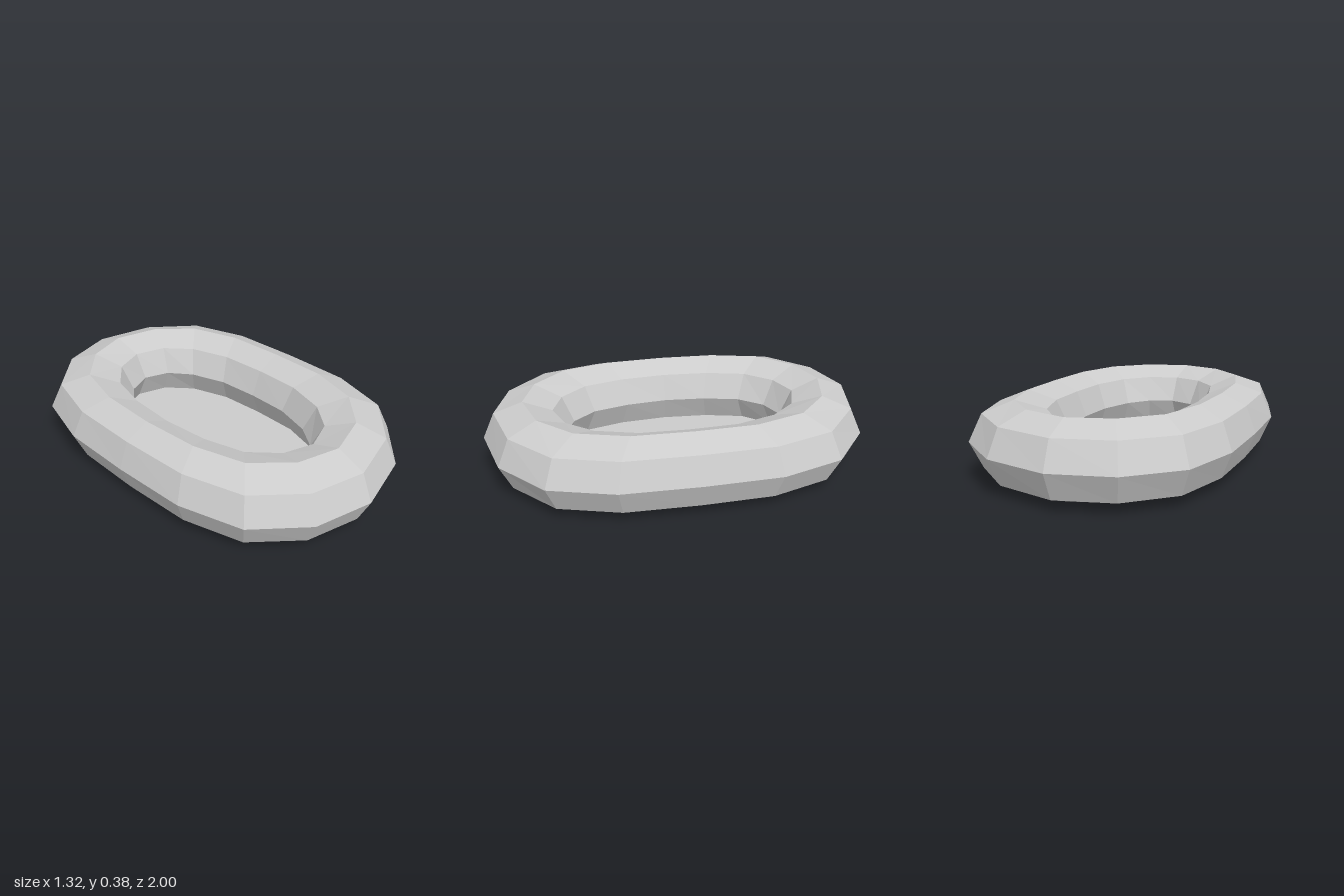
import * as THREE from 'three';

const SEGMENTS = 16; // around the oval
const SIDES = 8;     // around the tube
const HALF_HEIGHT = 0.19;

// Half outlines [x, z], from the left side (+x) round the front to the right side
const OUTER = [[0.66, 0], [0.65, 0.39], [0.55, 0.71], [0.3, 0.92], [-0.03, 1],
  [-0.33, 0.92], [-0.56, 0.71], [-0.65, 0.39], [-0.66, 0]];
const INNER = [[0.29, 0], [0.28, 0.22], [0.22, 0.41], [0.13, 0.53], [0, 0.58],
  [-0.13, 0.53], [-0.23, 0.41], [-0.28, 0.22], [-0.3, 0]];

// Full outline point: the back half mirrors the front half
function outlinePoint(half, i) {
  i %= SEGMENTS;
  if (i <= 8) return half[i];
  const [x, z] = half[SEGMENTS - i];
  return [x, -z];
}

// Point on the tube: i runs round the oval, j round the octagonal section
function tubePoint(i, j) {
  const [ox, oz] = outlinePoint(OUTER, i);
  const [ix, iz] = outlinePoint(INNER, i);
  const phi = (j / SIDES) * Math.PI * 2;
  const t = (1 + Math.cos(phi)) / 2;
  return new THREE.Vector3(
    THREE.MathUtils.lerp(ix, ox, t),
    HALF_HEIGHT * (1 + Math.sin(phi)),
    THREE.MathUtils.lerp(iz, oz, t)
  );
}

function tubeGeometry() {
  const points = [];
  for (let i = 0; i < SEGMENTS; i++) {
    for (let j = 0; j < SIDES; j++) {
      const a = tubePoint(i, j), b = tubePoint(i, j + 1);
      const c = tubePoint(i + 1, j + 1), d = tubePoint(i + 1, j);
      points.push(a, b, c, a, c, d);
    }
  }
  const geometry = new THREE.BufferGeometry().setFromPoints(points);
  geometry.computeVertexNormals();
  return geometry;
}

// Flat sheet joined to the tube's lower inner edge
function floorGeometry() {
  const rim = [];
  for (let i = 0; i < SEGMENTS; i++) rim.push(tubePoint(i, 5));
  const shape = new THREE.Shape(rim.map((p) => new THREE.Vector2(p.x, p.z)));
  return new THREE.ShapeGeometry(shape).rotateX(Math.PI / 2).translate(0, rim[0].y, 0);
}

export function createModel() {
  const group = new THREE.Group();
  group.name = 'inflatableRaft';

  const tube = new THREE.Mesh(tubeGeometry(),
    new THREE.MeshStandardMaterial({ color: 0xcccccc, flatShading: true }));
  tube.name = 'inflatedTube';

  const floor = new THREE.Mesh(floorGeometry(),
    new THREE.MeshStandardMaterial({ color: 0xcccccc, flatShading: true, side: THREE.DoubleSide }));
  floor.name = 'floor';

  group.add(tube, floor);
  return group;
}
